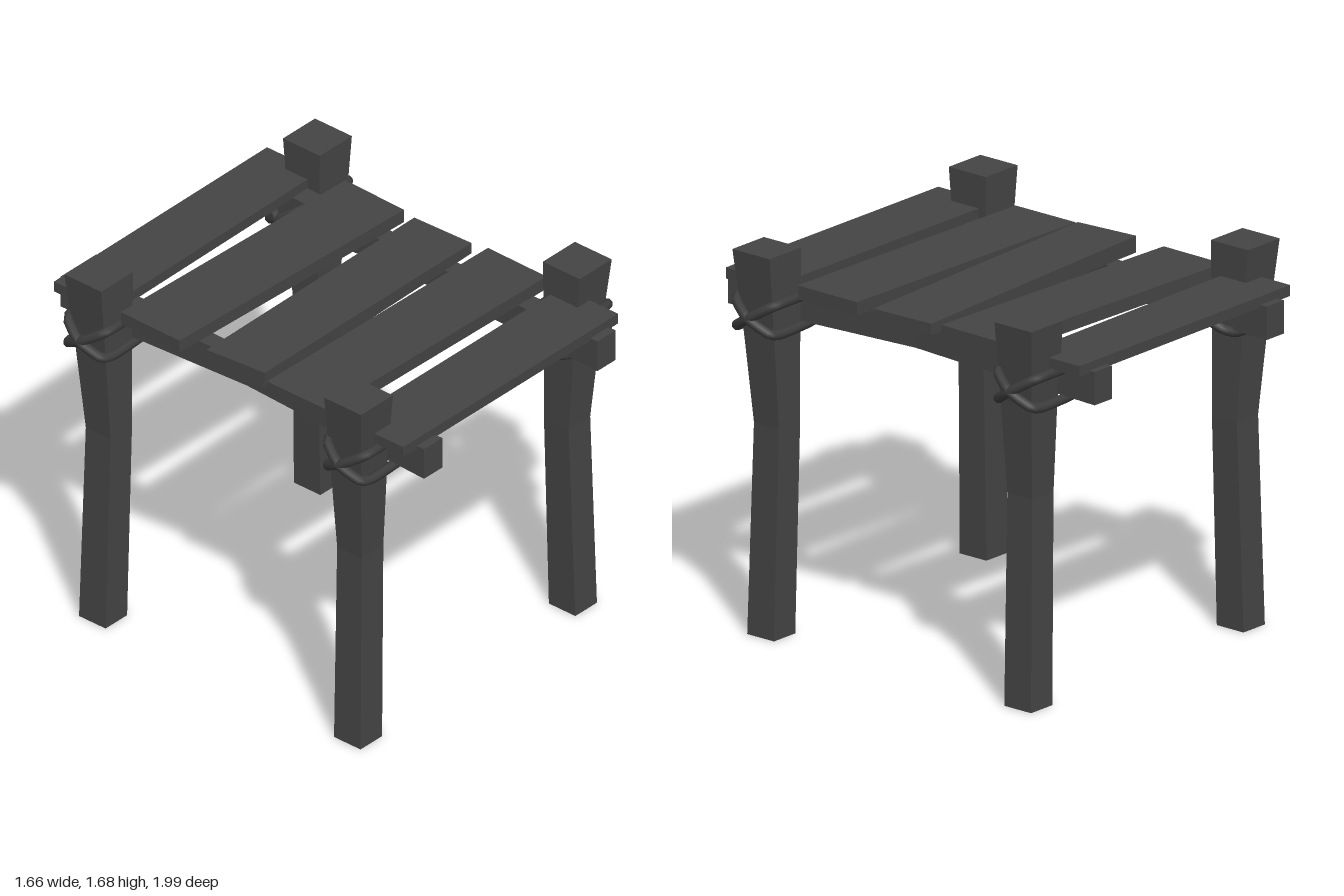
import * as THREE from 'three';

const wood = new THREE.MeshStandardMaterial({ color: 0x444444, flatShading: true });
const cord = new THREE.MeshStandardMaterial({ color: 0x3c3c3c });

// Flat-faced solid through a row of four-cornered rings, closed at both ends
function loft(name, rings) {
  const pos = [];
  const quad = (a, b, c, d) => pos.push(...a, ...b, ...c, ...a, ...c, ...d);
  for (let k = 0; k < rings.length - 1; k++) {
    const a = rings[k], b = rings[k + 1];
    for (let i = 0; i < 4; i++) {
      const j = (i + 1) % 4;
      quad(a[i], a[j], b[j], b[i]);
    }
  }
  const s = rings[0], e = rings[rings.length - 1];
  quad(s[0], s[3], s[2], s[1]);
  quad(e[0], e[1], e[2], e[3]);
  const geo = new THREE.BufferGeometry();
  geo.setAttribute('position', new THREE.Float32BufferAttribute(pos, 3));
  geo.computeVertexNormals();
  const mesh = new THREE.Mesh(geo, wood);
  mesh.name = name;
  return mesh;
}

// Leg sections: height, inner x, outer x, inner z, outer z
const LEG = [
  [0, 0.605, 0.74, 0.625, 0.77],
  [0.92, 0.58, 0.715, 0.62, 0.755],
  [1.32, 0.585, 0.75, 0.615, 0.78],
  [1.68, 0.585, 0.785, 0.61, 0.812],
];

function leg(name, sx, sz) {
  return loft(name, LEG.map(([y, xi, xo, zi, zo]) => {
    const [x0, x1] = [sx * xi, sx * xo].sort((a, b) => a - b);
    const [z0, z1] = [sz * zi, sz * zo].sort((a, b) => a - b);
    return [[x0, y, z0], [x0, y, z1], [x1, y, z1], [x1, y, z0]];
  }));
}

// Rail sections: z, inner x, outer x, bottom, top
const RAIL = [
  [-0.995, 0.49, 0.6, 1.355, 1.5],
  [-0.6, 0.49, 0.585, 1.36, 1.49],
  [0, 0.495, 0.57, 1.375, 1.485],
  [0.6, 0.49, 0.585, 1.36, 1.49],
  [0.995, 0.485, 0.6, 1.355, 1.5],
];

function rail(name, sx) {
  return loft(name, RAIL.map(([z, xi, xo, y0, y1]) => {
    const [x0, x1] = [sx * xi, sx * xo].sort((a, b) => a - b);
    return [[x0, y0, z], [x1, y0, z], [x1, y1, z], [x0, y1, z]];
  }));
}

// Planks: x and z of back left, front left, front right, back right; top at left and right end
const PLANKS = [
  [[-0.685, -0.955], [-0.685, -0.66], [0.66, -0.68], [0.66, -0.965], 1.535, 1.535],
  [[-0.69, -0.585], [-0.695, -0.26], [0.66, -0.215], [0.67, -0.545], 1.545, 1.547],
  [[-0.69, -0.115], [-0.665, 0.18], [0.665, 0.15], [0.655, -0.155], 1.56, 1.537],
  [[-0.69, 0.215], [-0.69, 0.54], [0.665, 0.56], [0.67, 0.235], 1.545, 1.547],
  [[-0.685, 0.65], [-0.685, 0.955], [0.66, 0.955], [0.66, 0.65], 1.535, 1.535],
];

// One slanted cord loop around a leg and its rail
function lashing(name, sx, sz, tilt) {
  const ring = [[0.808, 0], [0.775, 0.09], [0.715, 0.106], [0.52, 0.1], [0.465, 0.07],
    [0.435, 0], [0.465, -0.07], [0.52, -0.1], [0.715, -0.106], [0.775, -0.09]];
  const pts = ring.map(([x, dz]) =>
    new THREE.Vector3(sx * x, 1.405 + tilt * dz * 0.63, sz * 0.71 + dz));
  const path = new THREE.CatmullRomCurve3(pts, true, 'catmullrom', 0.25);
  const mesh = new THREE.Mesh(new THREE.TubeGeometry(path, 40, 0.022, 8, true), cord);
  mesh.name = name;
  return mesh;
}

export function createModel() {
  const group = new THREE.Group();
  group.name = 'plankTable';

  for (const [side, sx] of [['left', 1], ['right', -1]]) {
    group.add(rail(side + 'Rail', sx));
    for (const [end, sz] of [['Front', 1], ['Back', -1]]) {
      group.add(leg(side + end + 'Leg', sx, sz));
      group.add(lashing(side + end + 'LashingA', sx, sz, 1));
      group.add(lashing(side + end + 'LashingB', sx, sz, -1));
    }
  }

  PLANKS.forEach(([bl, fl, fr, br, yl, yr], i) => {
    const c = [bl, fl, fr, br], tops = [yl, yl, yr, yr];
    group.add(loft('plank' + (i + 1), [
      c.map(([x, z]) => [x, 1.487, z]),
      c.map(([x, z], k) => [x, tops[k], z]),
    ]));
  });

  return group;
}
